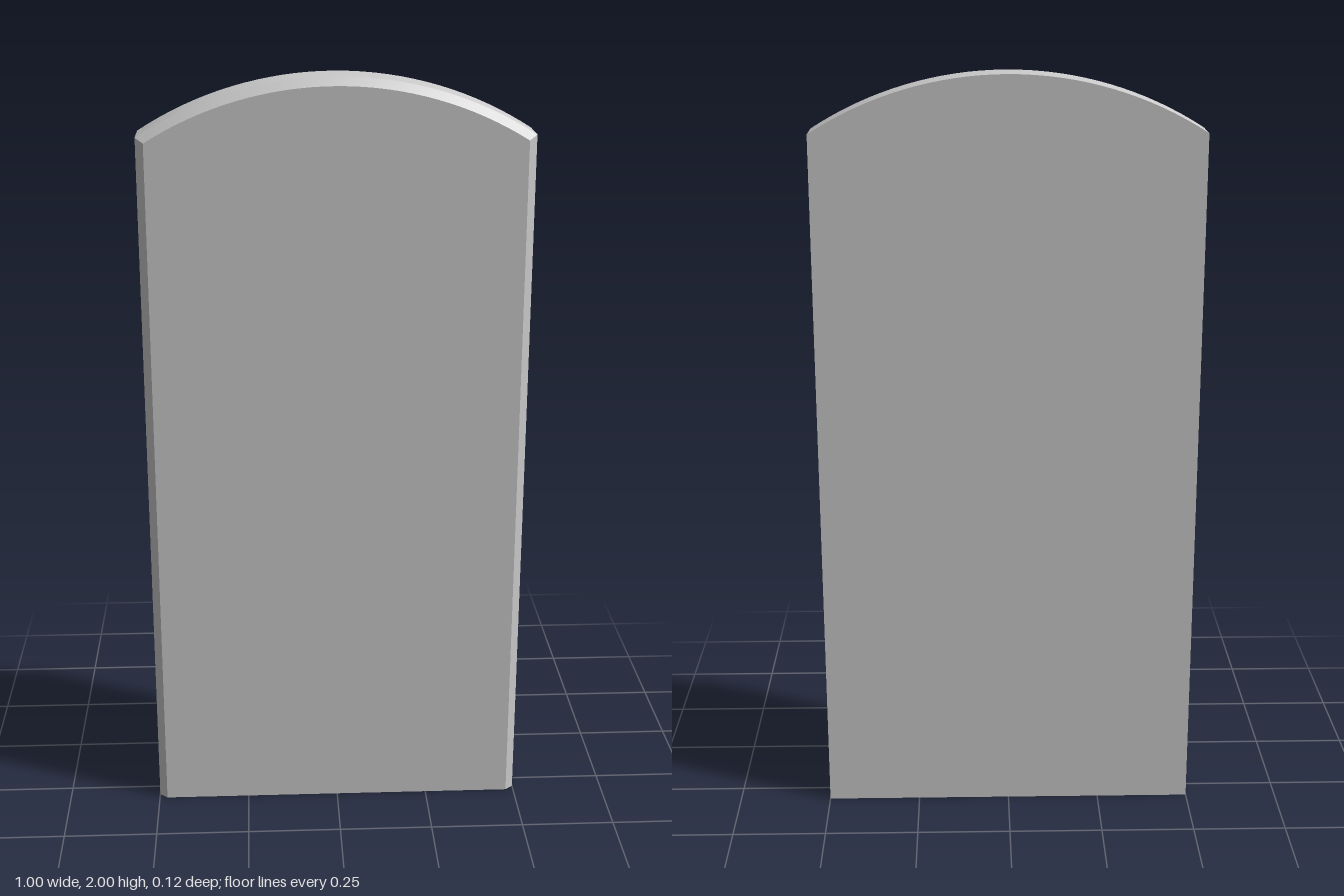
import * as THREE from 'three';
import { toCreasedNormals } from 'three/addons/utils/BufferGeometryUtils.js';

const HALF_WIDTH = 0.5;
const RADIUS = 0.929; // arched top
const ARC_Y = 2 - RADIUS;
const SEGMENTS = 32;

// Arched outline, counter-clockwise from the front; inset on the sides and top only
function outline(inset, z) {
  const w = HALF_WIDTH - inset;
  const r = RADIUS - inset;
  const half = Math.asin(w / r);
  const points = [new THREE.Vector3(w, 0, z)];
  for (let i = 0; i <= SEGMENTS; i++) {
    const a = half * (1 - (2 * i) / SEGMENTS);
    points.push(new THREE.Vector3(r * Math.sin(a), ARC_Y + r * Math.cos(a), z));
  }
  points.push(new THREE.Vector3(-w, 0, z));
  return points;
}

// Joins the cross-sections from back to front and caps both ends
function loft(loops) {
  const corners = [];
  const n = loops[0].length;
  for (let k = 0; k < loops.length - 1; k++) {
    const a = loops[k];
    const b = loops[k + 1];
    for (let i = 0; i < n; i++) {
      const j = (i + 1) % n;
      corners.push(a[i], a[j], b[j], a[i], b[j], b[i]);
    }
  }
  const back = loops[0];
  const front = loops[loops.length - 1];
  for (let i = 1; i < n - 1; i++) {
    corners.push(front[0], front[i], front[i + 1]);
    corners.push(back[0], back[i + 1], back[i]);
  }
  const geometry = new THREE.BufferGeometry().setFromPoints(corners);
  return toCreasedNormals(geometry, 0.3);
}

export function createModel() {
  const group = new THREE.Group();
  group.name = 'archedSlab';

  // Upright slab with a flat back and a chamfered front edge
  const slab = new THREE.Mesh(
    loft([outline(0, -0.0625), outline(0, 0.044), outline(0.021, 0.0625)]),
    new THREE.MeshStandardMaterial({ color: 0xcccccc })
  );
  slab.name = 'slab';
  group.add(slab);
  return group;
}
